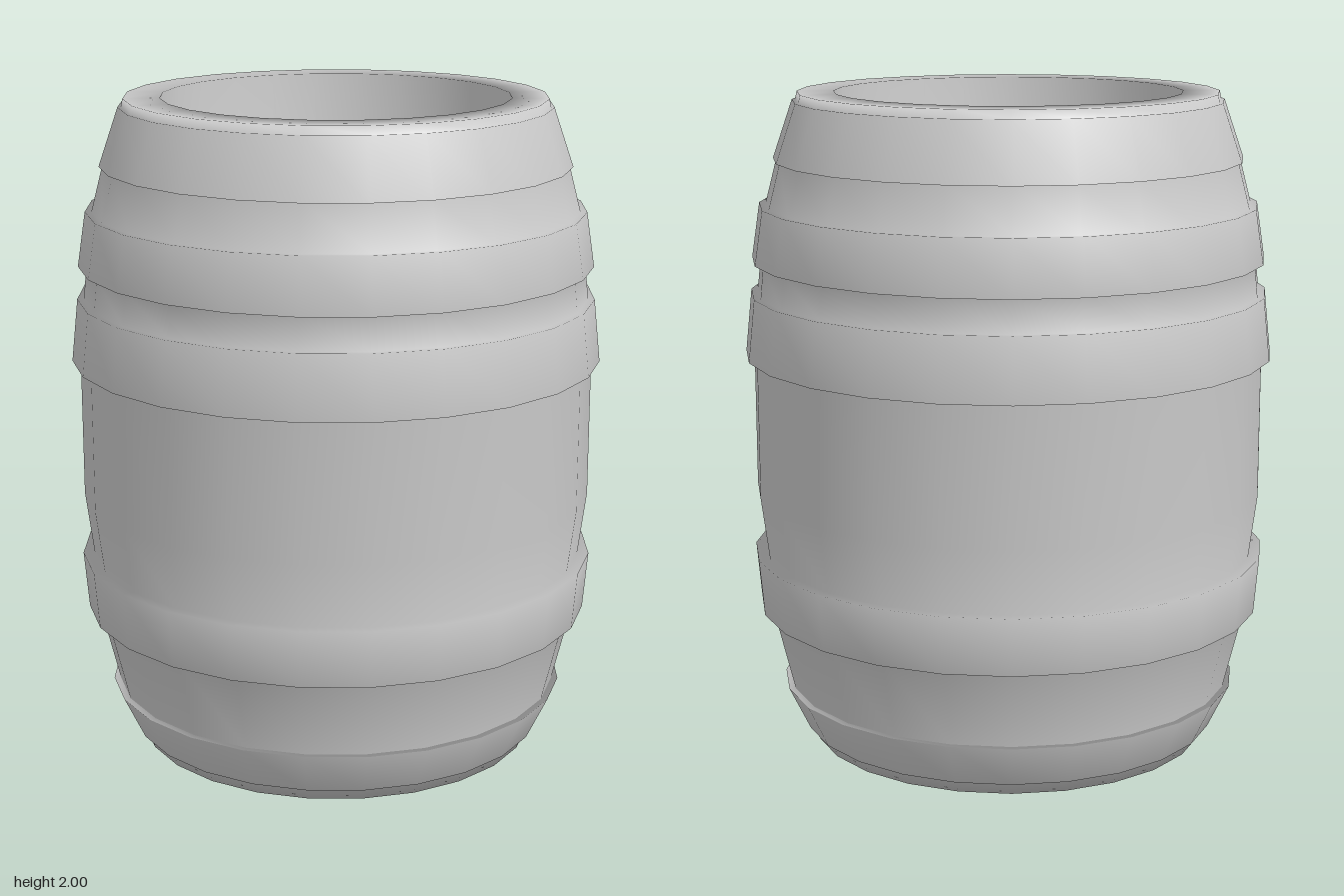
import * as THREE from 'three';

export function createModel() {
  const group = new THREE.Group();
  group.name = 'barrel';
  const material = new THREE.MeshStandardMaterial({ color: 0xcccccc });

  // Profile as [radius, height], from the underside centre, up the outside and down the inside
  const base = [[0, 0], [0.61, 0], [0.62, 0.04]];

  // Raised hoops: [bottom radius, bottom y, top radius, top y]
  const lowerHoops = [
    [0.64, 0.04, 0.705, 0.175],
    [0.775, 0.42, 0.79, 0.595],
  ];
  const upperHoops = [
    [0.805, 1.21, 0.785, 1.4],
    [0.78, 1.5, 0.755, 1.665],
    [0.71, 1.8, 0.65, 1.975],
  ];
  const hoop = ([r0, y0, r1, y1]) => [[r0, y0], [r1, y1]];

  // Stave wall showing between the hoops
  const lowerWall = [[0.685, 0.175], [0.745, 0.42]];
  const middleWall = [[0.755, 0.595], [0.78, 0.79], [0.78, 1.21]];
  const neckWall = [[0.765, 1.4], [0.755, 1.5]];
  const shoulderWall = [[0.735, 1.665], [0.7, 1.8]];

  // Open rim, inner wall and floor
  const rim = [[0.64, 1.975], [0.635, 2], [0.525, 2]];
  const inside = [[0.525, 0.12], [0, 0.12]];

  const profile = [
    ...base,
    ...hoop(lowerHoops[0]), ...lowerWall,
    ...hoop(lowerHoops[1]), ...middleWall,
    ...hoop(upperHoops[0]), ...neckWall,
    ...hoop(upperHoops[1]), ...shoulderWall,
    ...hoop(upperHoops[2]), ...rim,
    ...inside,
  ].map(([r, y]) => new THREE.Vector2(r, y));

  const shell = new THREE.Mesh(new THREE.LatheGeometry(profile, 24), material);
  shell.name = 'hoopedBarrelShell';
  group.add(shell);
  return group;
}
